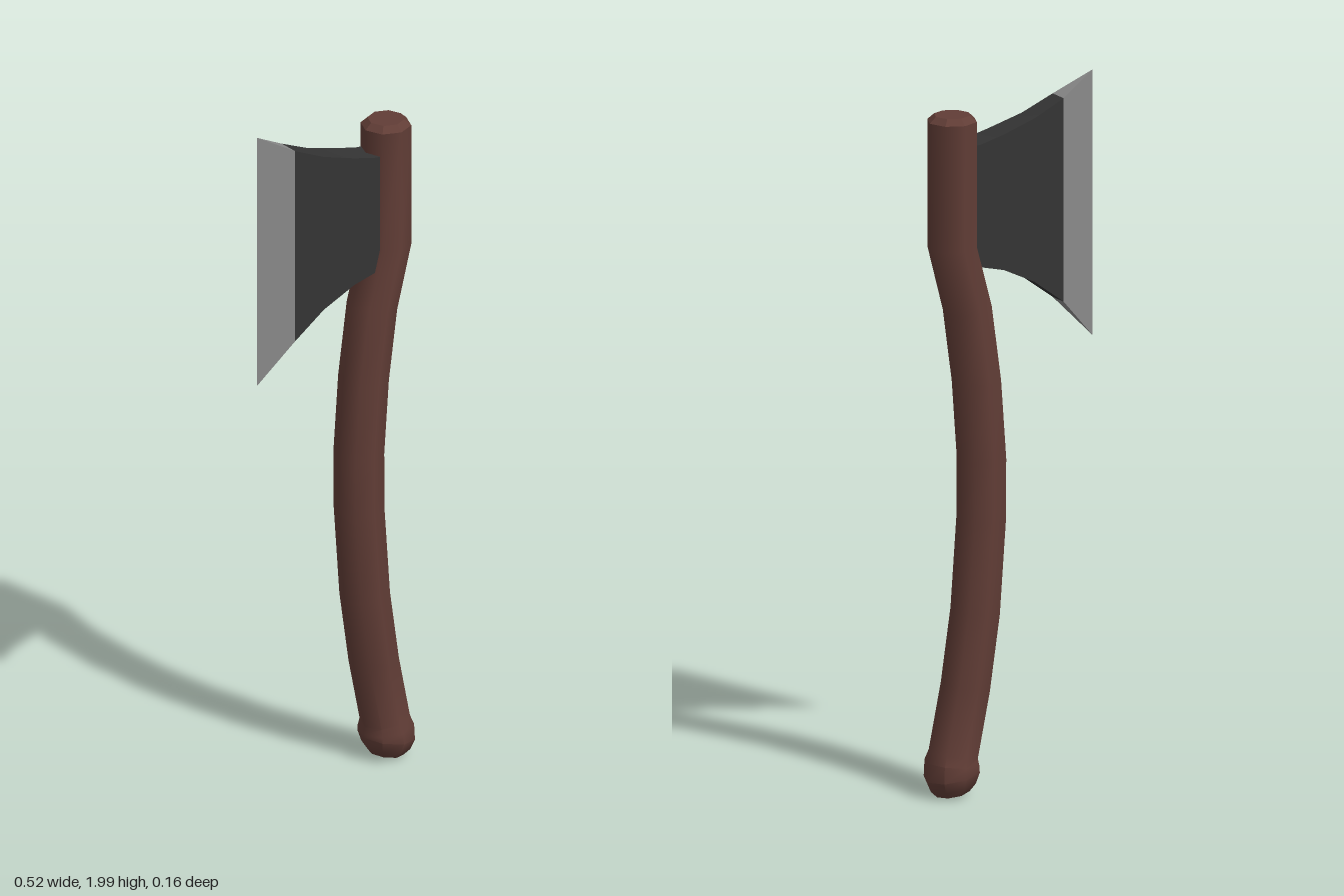
import * as THREE from 'three';
import { toCreasedNormals } from 'three/addons/utils/BufferGeometryUtils.js';

const wood = new THREE.MeshStandardMaterial({ name: 'brown wood', color: 0x613d36 });
const iron = new THREE.MeshStandardMaterial({ name: 'dark iron', color: 0x343434 });
const steel = new THREE.MeshStandardMaterial({ name: 'ground steel', color: 0x8a8a8a });

// Skins a list of equal-sized rings and closes both ends; rings run counterclockwise
// seen from the far end. Edges sharper than the crease angle stay hard.
function loft(name, rings, material, crease) {
  const pos = [];
  const tri = (a, b, c) => {
    const area = b.clone().sub(a).cross(c.clone().sub(a)).length();
    if (area > 1e-8) for (const p of [a, b, c]) pos.push(p.x, p.y, p.z);
  };
  const n = rings[0].length;
  for (let i = 0; i < rings.length - 1; i++) {
    const r = rings[i], s = rings[i + 1];
    for (let j = 0; j < n; j++) {
      const k = (j + 1) % n;
      tri(r[j], r[k], s[k]);
      tri(r[j], s[k], s[j]);
    }
  }
  const first = rings[0], last = rings[rings.length - 1];
  for (let j = 1; j < n - 1; j++) {
    tri(first[0], first[j + 1], first[j]);
    tri(last[0], last[j], last[j + 1]);
  }
  const geo = new THREE.BufferGeometry();
  geo.setAttribute('position', new THREE.Float32BufferAttribute(pos, 3));
  const mesh = new THREE.Mesh(toCreasedNormals(geo, crease), material);
  mesh.name = name;
  return mesh;
}

// Octagonal ring at height y, tilted in the xy plane
function octagon([x, y, radius, tilt]) {
  return Array.from({ length: 8 }, (_, j) => {
    const a = (j * Math.PI) / 4, u = radius * Math.cos(a);
    return new THREE.Vector3(x + u * Math.cos(tilt), y + u * Math.sin(tilt), -radius * Math.sin(a));
  });
}

// Rectangular section of the axe head
function section([x, top, bottom, z]) {
  return [[top, z], [bottom, z], [bottom, -z], [top, -z]].map(([y, d]) => new THREE.Vector3(x, y, d));
}

export function createModel() {
  const axe = new THREE.Group();
  axe.name = 'axe';

  // Curved handle with rounded pommel: x, y, radius, tilt
  const handle = [
    [0.179, 0.017, 0.049, -0.17], [0.18, 0.038, 0.068, -0.17], [0.181, 0.068, 0.08, -0.17],
    [0.18, 0.1, 0.078, 0.1], [0.176, 0.125, 0.07, 0.18], [0.138, 0.31, 0.07, 0.18],
    [0.107, 0.52, 0.07, 0.12], [0.088, 0.78, 0.07, 0.03], [0.087, 0.95, 0.07, -0.03],
    [0.103, 1.17, 0.07, -0.1], [0.132, 1.38, 0.07, -0.18], [0.18, 1.56, 0.07, -0.08],
    [0.18, 1.915, 0.07, 0],
  ];
  axe.add(loft('handle', handle.map(octagon), wood, 0.85));

  // Chamfered top of the handle
  const cap = [[0.18, 1.915, 0.07, 0], [0.18, 1.932, 0.051, 0]];
  axe.add(loft('handleCap', cap.map(octagon), wood, 0.1));

  // Head flaring away from the handle: x, top, bottom, half thickness
  const head = [
    [-0.155, 1.94, 1.365, 0.03], [-0.06, 1.897, 1.435, 0.035], [0.04, 1.866, 1.483, 0.041],
    [0.11, 1.848, 1.5, 0.042], [0.18, 1.84, 1.54, 0.042],
  ];
  axe.add(loft('axeHead', head.map(section), iron, 0.4));

  // Bevelled cutting edge
  const edge = [[-0.263, 2, 1.25, 0], [-0.155, 1.94, 1.365, 0.03]];
  axe.add(loft('cuttingEdge', edge.map(section), steel, 0.1));

  return axe;
}
